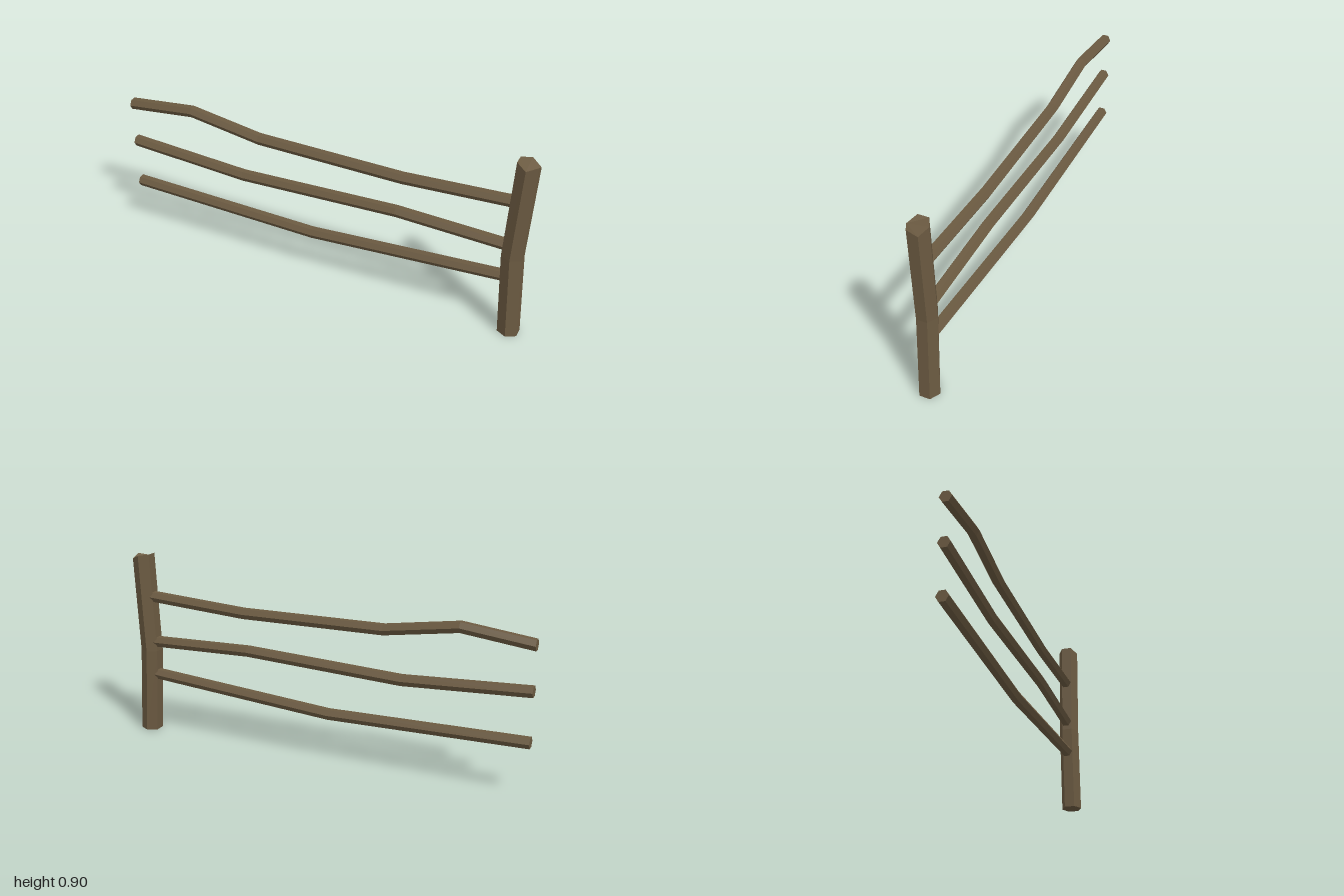
import * as THREE from 'three';

const wood = new THREE.MeshStandardMaterial({ color: 0x6b5a41, flatShading: true });
wood.name = 'weathered wood';

// Skin a list of six-point rings and close both ends; rings run anticlockwise about the path
function loft(name, rings) {
  const n = rings[0].length, index = [];
  for (let i = 0; i < rings.length - 1; i++) {
    for (let k = 0; k < n; k++) {
      const a = i * n + k, b = i * n + (k + 1) % n;
      index.push(a, b, b + n, a, b + n, a + n);
    }
  }
  const end = (rings.length - 1) * n;
  for (let k = 1; k < n - 1; k++) {
    index.push(0, k + 1, k, end, end + k, end + k + 1);
  }
  const indexed = new THREE.BufferGeometry();
  indexed.setAttribute('position', new THREE.Float32BufferAttribute(rings.flat(2), 3));
  indexed.setIndex(index);
  const geometry = indexed.toNonIndexed();
  geometry.computeVertexNormals();
  const mesh = new THREE.Mesh(geometry, wood);
  mesh.name = name;
  return mesh;
}

const hexagon = (offset, point) =>
  Array.from({ length: 6 }, (_, k) => point(offset + k * Math.PI / 3, k));

// Rail: upright hexagonal sections along a crooked path of [x, y] points
function rail(name, path) {
  const r = 0.028;
  return loft(name, path.map(([x, y]) =>
    hexagon(Math.PI / 6, a => [x, y + r * Math.cos(a), -0.005 + r * Math.sin(a)])));
}

export function createModel() {
  const group = new THREE.Group();
  group.name = 'fence section';

  // Bent post with a roughly hewn top
  const cut = [0.885, 0.895, 0.877, 0.9, 0.905, 0.905];
  const levels = [[0.951, () => 0], [0.929, () => 0.42], [0.95, k => cut[k]]];
  group.add(loft('post', levels.map(([x, height]) =>
    hexagon(0, (a, k) => [x + 0.053 * Math.sin(a), height(k), 0.05 * Math.cos(a)]))));

  // Three crooked rails running into the post
  group.add(
    rail('topRail', [[-1, 0.70], [-0.665, 0.737], [-0.31, 0.68], [0.4, 0.668], [0.92, 0.695]]),
    rail('middleRail', [[-1, 0.492], [-0.4, 0.455], [0.38, 0.484], [0.92, 0.464]]),
    rail('bottomRail', [[-1, 0.257], [-0.04, 0.233], [0.92, 0.299]])
  );
  return group;
}
